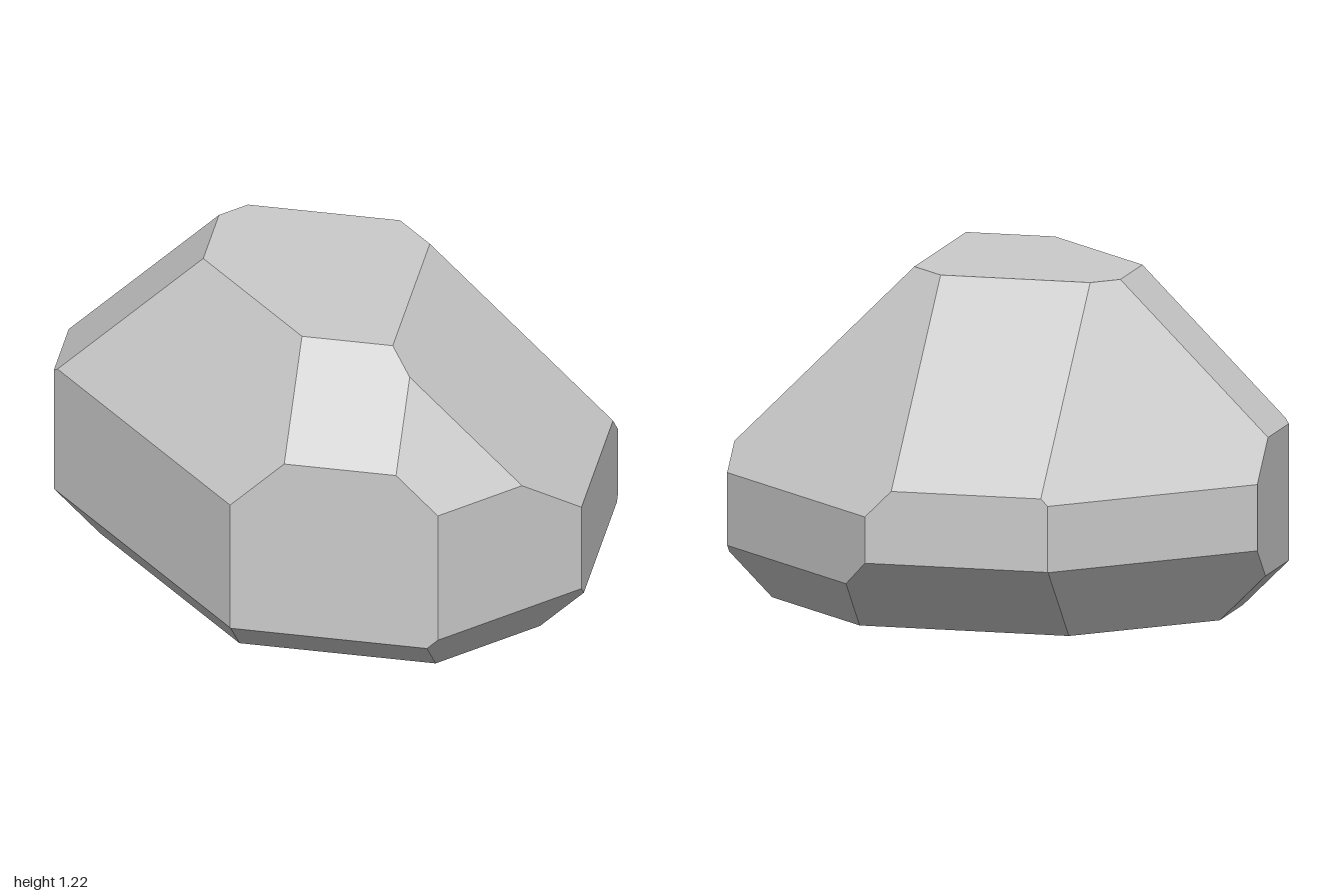
import * as THREE from 'three';

// Cutting planes: [nx, ny, nz, limit], keeping nx*x + ny*y + nz*z <= limit
const CUTS = [
  // flat sides
  [1, 0, 0, 1], [-1, 0, 0, 1], [0, 1, 0, 1.22], [0, -1, 0, 0], [0, 0, 1, 0.92], [0, 0, -1, 0.92],
  // bevels along x
  [0, 1, 1, 1.805], [0, 1, -1, 1.47], [0, -1, 1, 0.755], [0, -1, -1, 0.637],
  // bevels along z
  [1, 1, 0, 1.55], [-1, 1, 0, 1.67], [1, -1, 0, 0.84], [-1, -1, 0, 0.83],
  // bevels along y
  [1, 0, 1, 1.48], [-1, 0, 1, 1.12], [1, 0, -1, 1.213], [-1, 0, -1, 1.308],
  // upper corners
  [1, 1, 1, 2.212], [-1, 1, 1, 1.807], [1, 1, -1, 1.665], [-1, 1, -1, 1.832],
  // lower corners
  [1, -1, 1, 1.275], [-1, -1, 1, 0.953], [1, -1, -1, 1.027], [-1, -1, -1, 1.026],
];

// Point shared by three planes, or null if they do not meet in one point
function meet(a, b, c) {
  const bc = b.n.clone().cross(c.n);
  const det = a.n.dot(bc);
  if (Math.abs(det) < 1e-6) return null;
  return bc.multiplyScalar(a.d)
    .addScaledVector(c.n.clone().cross(a.n), b.d)
    .addScaledVector(a.n.clone().cross(b.n), c.d)
    .divideScalar(det);
}

// Corners of the facet lying on one plane, in counter-clockwise order
function facetCorners(plane, planes) {
  const corners = [];
  for (let i = 0; i < planes.length; i++) {
    for (let j = i + 1; j < planes.length; j++) {
      const p = meet(plane, planes[i], planes[j]);
      if (!p || planes.some((q) => q.n.dot(p) > q.d + 1e-5)) continue;
      if (!corners.some((c) => c.distanceTo(p) < 1e-4)) corners.push(p);
    }
  }
  if (corners.length < 3) return [];
  const centre = new THREE.Vector3();
  corners.forEach((c) => centre.addScaledVector(c, 1 / corners.length));
  const u = corners[0].clone().sub(centre).normalize();
  const v = plane.n.clone().normalize().cross(u);
  const angle = (p) => {
    const r = p.clone().sub(centre);
    return Math.atan2(r.dot(v), r.dot(u));
  };
  return corners.sort((a, b) => angle(a) - angle(b));
}

// Solid left after all cuts, each facet built as a triangle fan
function cutSolid(cuts) {
  const planes = cuts.map(([x, y, z, d]) => ({ n: new THREE.Vector3(x, y, z), d }));
  const points = [];
  for (const plane of planes) {
    const c = facetCorners(plane, planes);
    for (let i = 1; i < c.length - 1; i++) points.push(c[0], c[i], c[i + 1]);
  }
  const geometry = new THREE.BufferGeometry().setFromPoints(points);
  geometry.computeVertexNormals();
  return geometry;
}

export function createModel() {
  const group = new THREE.Group();
  group.name = 'boulder';
  const material = new THREE.MeshStandardMaterial({ color: 0xcccccc, flatShading: true });
  const rock = new THREE.Mesh(cutSolid(CUTS), material);
  rock.name = 'rock';
  group.add(rock);
  return group;
}
